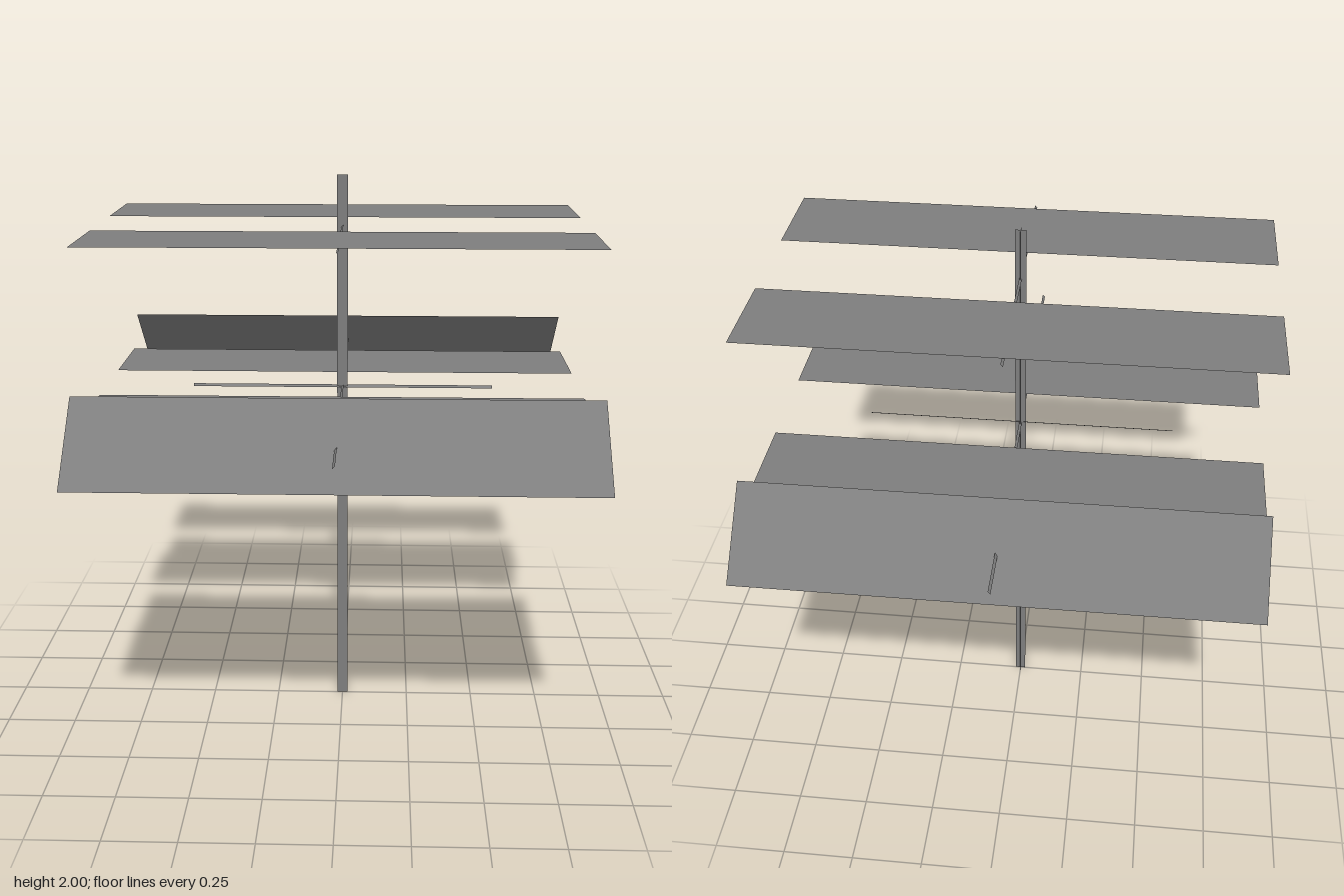
import * as THREE from 'three';

export function createModel() {
  const model = new THREE.Group();
  const metal = new THREE.MeshStandardMaterial({ color: 0x7e7e7e, side: THREE.DoubleSide });
  metal.name = 'grey metal';

  const add = (name, geometry, x, y, z) => {
    const mesh = new THREE.Mesh(geometry, metal);
    mesh.name = name;
    mesh.position.set(x, y, z);
    model.add(mesh);
  };

  // Flat sheet facing up, width along x and depth along z
  const sheet = (width, depth) => new THREE.PlaneGeometry(width, depth).rotateX(-Math.PI / 2);

  // Thin rod: a strip along z, rolled by 45 degrees
  const rod = (length, width) => sheet(width, length).rotateZ(Math.PI / 4);

  // Mast of two crossed upright strips
  for (const turn of [0, Math.PI / 2]) {
    add('mast', new THREE.PlaneGeometry(0.038, 2).rotateY(turn), 0, 1, 0);
  }

  // Booms along z and the cross rod along x
  add('upperBoom', rod(1.07, 0.011), 0, 1.824, 0);
  add('lowerBoom', rod(1.81, 0.012), 0, 1.246, 0);
  add('crossRod', rod(1.08, 0.012).rotateY(Math.PI / 2), 0, 1.246, 0);

  // Panels, mirrored front and back
  const width = 1.7, depth = 0.336;
  for (const side of [1, -1]) {
    add('upperPanel', sheet(width, depth), 0, 1.83, side * 0.336);
    add('lowerPanel', sheet(width, depth), 0, 1.253, side * 0.336);
    add('slopedPanel', sheet(width, depth).rotateX(side * Math.PI / 4), 0, 1.253, side * 0.719);
  }

  return model;
}
